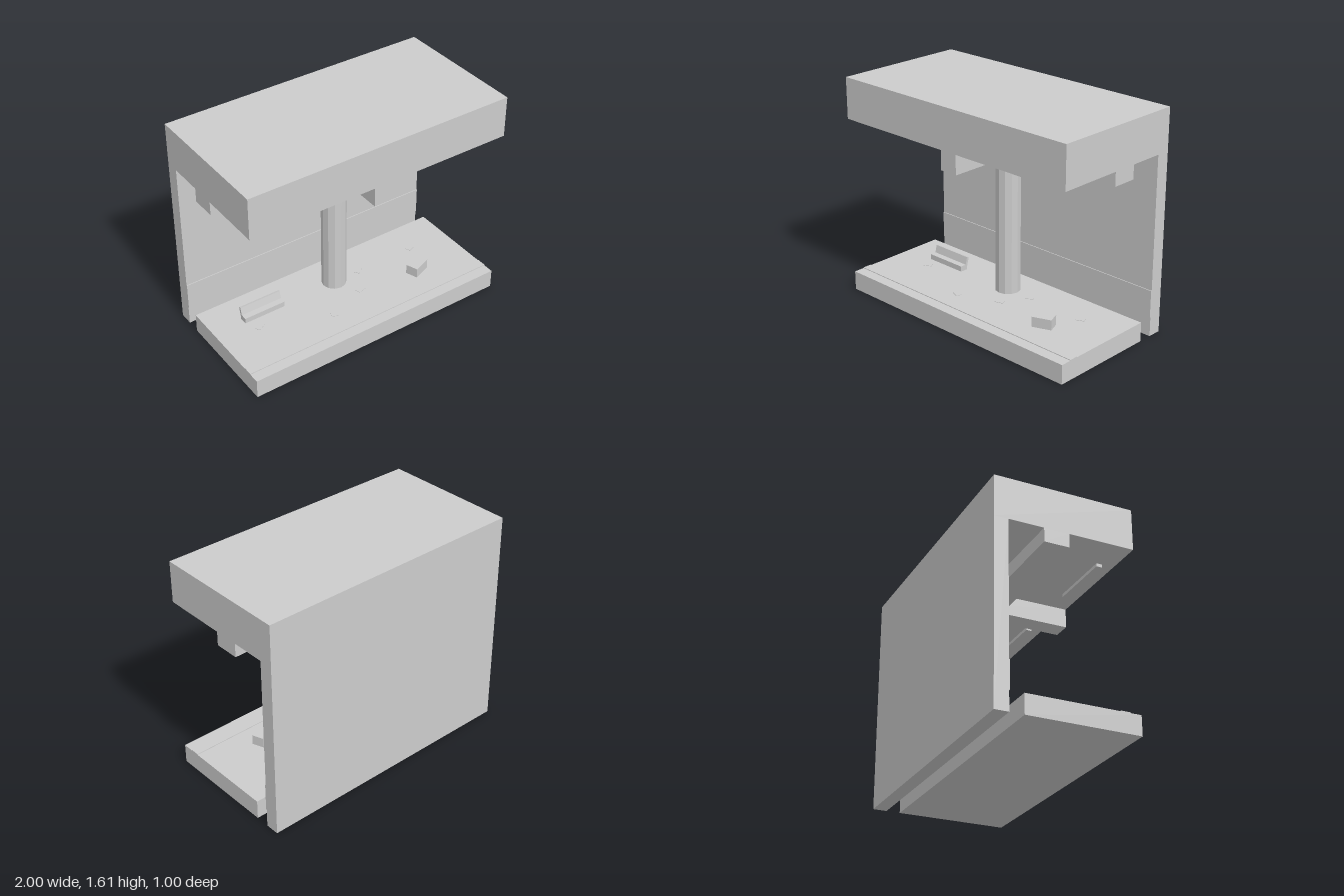
import * as THREE from 'three';

export function createModel() {
  const model = new THREE.Group();
  model.name = 'platformSection';

  const concrete = new THREE.MeshStandardMaterial({ color: 0xcccccc });
  concrete.name = 'light grey';
  // The pillar keeps its facets
  const add = (name, geometry, parent = model) => {
    const mesh = new THREE.Mesh(geometry, concrete);
    mesh.name = name;
    parent.add(mesh);
    return mesh;
  };

  // Box given by its extents on each axis
  const block = (name, [x0, x1], [y0, y1], [z0, z1]) => {
    const mesh = add(name, new THREE.BoxGeometry(x1 - x0, y1 - y0, z1 - z0));
    mesh.position.set((x0 + x1) / 2, (y0 + y1) / 2, (z0 + z1) / 2);
    return mesh;
  };

  // Main structure
  const full = [-1, 1];
  block('floor', full, [0, 0.14], [-0.3, 0.5]);
  block('backWall', full, [0, 1.305], [-0.5, -0.4]);
  block('roof', full, [1.305, 1.605], [-0.5, 0.5]);
  block('longBeam', full, [1.205, 1.305], [-0.15, 0.03]);
  block('crossBeam', [-0.068, 0.068], [1.165, 1.305], [-0.4, 0.5]);

  // Raised bands on the wall and floor
  block('wallBand', full, [0.14, 0.34], [-0.4, -0.394]);
  block('edgeStrip', full, [0.14, 0.145], [0.355, 0.42]);

  // Pillar
  const pillarShape = new THREE.CylinderGeometry(0.09, 0.09, 1.027, 12).toNonIndexed();
  pillarShape.computeVertexNormals();
  add('pillar', pillarShape).position.set(0, 0.6535, -0.06);

  // Ceiling lamps
  for (const side of [-1, 1]) {
    const lamp = block('ceilingLamp', [-0.24, 0.24], [1.272, 1.295], [0.362, 0.402]);
    lamp.position.x = side * 0.52;
  }

  // Bench with a leaning back
  block('benchSeat', [-0.76, -0.44], [0.14, 0.18], [-0.09, -0.03]);
  const back = block('benchBack', [-0.76, -0.44], [0.165, 0.234], [-0.1, -0.082]);
  back.rotation.x = -0.25;

  // Bin, turned slightly
  const bin = add('bin', new THREE.BoxGeometry(0.14, 0.074, 0.09));
  bin.position.set(0.56, 0.177, 0.183);
  bin.rotation.y = 0.36;

  // Scraps of litter lying on the floor: x, z, turn
  const scraps = [
    [-0.7, 0.055, 0.5], [-0.2, 0.245, -0.4], [0.1, 0.127, 0.3],
    [0.21, -0.057, 0.6], [0.68, -0.055, 0.4],
  ];
  for (const [x, z, turn] of scraps) {
    const scrap = add('litter', new THREE.BoxGeometry(0.06, 0.004, 0.04));
    scrap.position.set(x, 0.141, z);
    scrap.rotation.y = turn;
  }

  return model;
}
